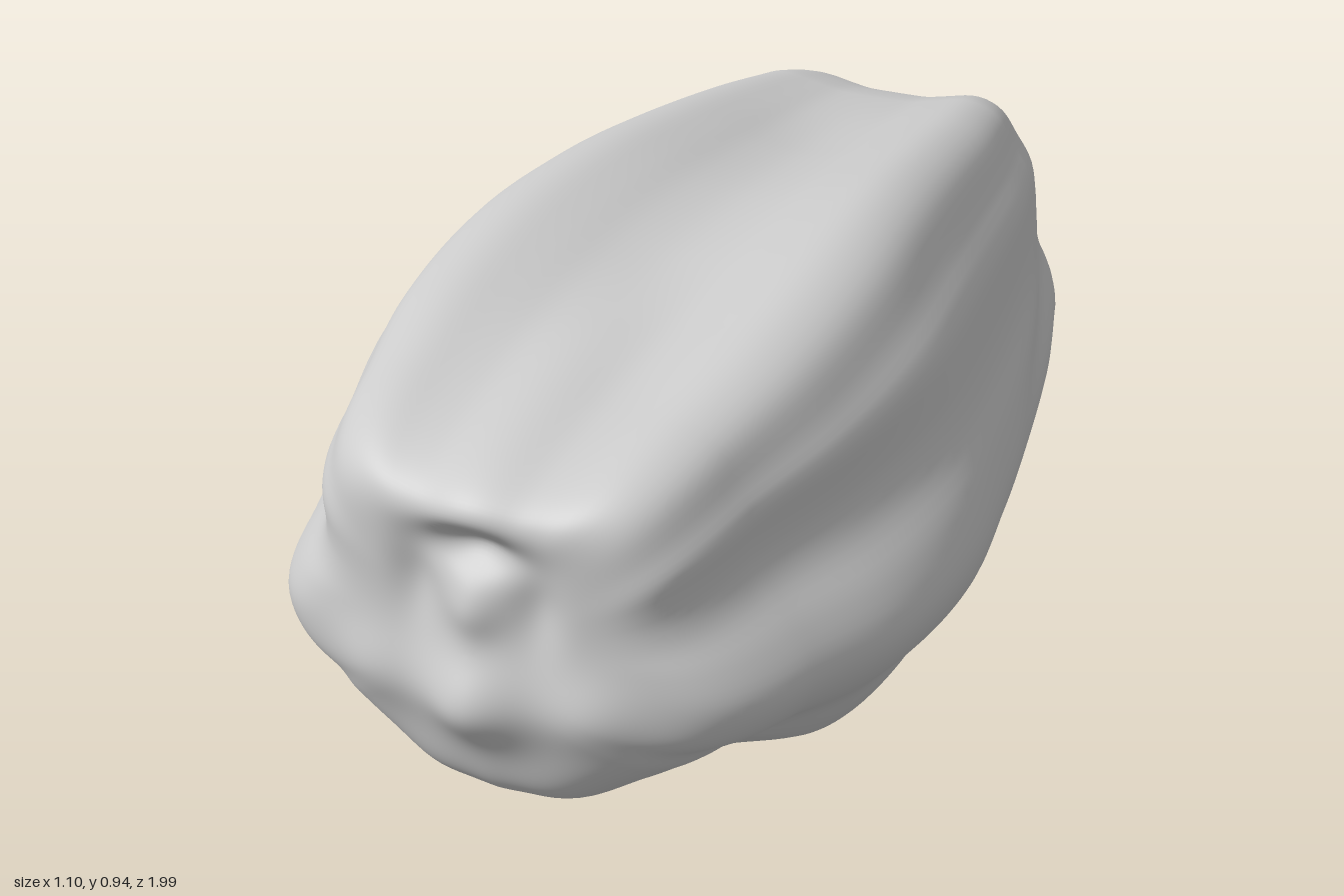
import * as THREE from 'three';
import { mergeVertices } from 'three/addons/utils/BufferGeometryUtils.js';

const SEG = 168, ALONG = 72, CAP = 56;
const { smoothstep, lerp } = THREE.MathUtils;

// Lobed cross-section, right half from bottom centre to top centre
const half = [[0, .014], [.08, .016], [.2, 0], [.3, .018], [.37, .08], [.42, .15], [.495, .26], [.532, .34],
  [.55, .43], [.528, .52], [.492, .59], [.474, .65], [.466, .70], [.45, .77], [.405, .83],
  [.36, .90], [.31, .932], [.25, .94], [.17, .92], [.09, .895], [0, .884]];

// Stations along the length: z, half width, top, bottom
const stations = [[-.7, .40, .838, .122], [-.5, .45, .874, .06], [-.25, .49, .912, .006], [0, .525, .936, .003],
  [.25, .552, .932, .028], [.5, .53, .9, .08], [.72, .46, .855, .172]];

const bump = (x, y, cx, cy, sx, sy) => Math.exp(-(((x - cx) / sx) ** 2) - ((y - cy) / sy) ** 2);
const sum = (x, y, list) => list.reduce((t, [h, ...b]) => t + h * bump(x, y, ...b), 0);

// Relief of the front end: lip, small nub, arched hollow and brow
function frontRelief(x, y) {
  const a = Math.abs(x);
  return .935 - .2 * x * x + sum(a, y, [
    [.06, 0, .455, .09, .08], [.025, .18, .46, .08, .07], [-.04, 0, .705, .07, .035],
    [.02, 0, .61, .045, .05], [-.018, .1, .63, .04, .07], [.035, 0, .79, .14, .06]]);
}

// Relief of the back end: upper lobes, cross crease and lower folds
function backRelief(x, y) {
  const a = Math.abs(x);
  return -(.933 - .2 * x * x + sum(a, y, [
    [.075, .2, .65, .08, .09], [.07, 0, .66, .1, .08], [-.04, 0, .55, .22, .04],
    [.055, 0, .41, .05, .1], [-.02, .08, .4, .035, .13], [.045, .24, .44, .08, .07], [.075, .13, .27, .13, .07]]));
}

function bodyGeometry() {
  const loop = [...half, ...half.slice(1, -1).reverse().map(([x, y]) => [-x, y])];
  const section = new THREE.CatmullRomCurve3(loop.map(([x, y]) => new THREE.Vector3(x / .55, (y - .47) / .47, 0)), true, 'catmullrom')
    .getSpacedPoints(SEG);
  const upper = new THREE.CatmullRomCurve3(stations.map(([z, w, t]) => new THREE.Vector3(w, t, z)), false, 'catmullrom');
  const lower = new THREE.CatmullRomCurve3(stations.map(([z, , , b]) => new THREE.Vector3(0, b, z)), false, 'catmullrom');

  // Outline point j at fraction t along the body
  function outline(t, j) {
    const u = upper.getPoint(t), b = lower.getPoint(t).y, s = section[j % SEG], z = u.z;
    let x = s.x * u.x, y = (u.y + b) / 2 + s.y * (u.y - b) / 2;
    // flank grooves: above and below the wide ridge in front, above it at the back
    const groove = (cy, width) => Math.exp(-(((y - cy) / width) ** 2));
    x *= 1 - .12 * smoothstep(z, 0, .75) * groove(.65, .12)
      - .06 * smoothstep(z, -.3, .5) * groove(.22 + .16 * z, .07)
      - .06 * smoothstep(-z, .05, .7) * groove(.40 - .17 * z, .06);
    if (s.y > 0) {
      // top groove is deepest mid-body and fills to a ridge at the front
      const fill = .04 * smoothstep(z, .25, .72) + .02 * smoothstep(-z, .3, .7);
      y += fill * Math.exp(-((x / .1) ** 2));
    } else {
      // underside narrows to a central keel at the front
      y += .09 * smoothstep(z, .1, .72) * Math.exp(-(((Math.abs(x) - .27) / .12) ** 2)) * smoothstep(-s.y, .15, .7);
    }
    return [x, y, z];
  }

  // End cap point: outline shrunk by s and eased out to the relief
  function cap(t, s, j, centreY, power, relief) {
    const [x0, y0, z0] = outline(t, j);
    const x = x0 * s, y = centreY + (y0 - centreY) * s;
    return [x, y, lerp(z0, relief(x, y), 1 - s ** power)];
  }

  const rings = [];
  for (let k = 0; k < CAP; k++) rings.push(j => cap(0, k / CAP, j, .48, 6, backRelief));
  for (let i = 0; i <= ALONG; i++) rings.push(j => outline(i / ALONG, j));
  for (let k = CAP - 1; k >= 0; k--) rings.push(j => cap(1, k / CAP, j, .54, 8, frontRelief));

  const pos = [], index = [];
  rings.forEach((ring, i) => {
    for (let j = 0; j < SEG; j++) {
      pos.push(...ring(j));
      if (i === rings.length - 1) continue;
      const a = i * SEG + j, b = i * SEG + (j + 1) % SEG, c = a + SEG, d = b + SEG;
      if (i > 0) index.push(a, b, c);
      else index.push(a, d, c);
      if (i > 0 && i < rings.length - 2) index.push(b, d, c);
    }
  });
  const raw = new THREE.BufferGeometry();
  raw.setAttribute('position', new THREE.Float32BufferAttribute(pos, 3));
  raw.setIndex(index);
  const geo = mergeVertices(raw, 1e-5);
  geo.computeVertexNormals();
  return geo;
}

export function createModel() {
  const group = new THREE.Group();
  group.name = 'lobedFruit';
  const body = new THREE.Mesh(bodyGeometry(), new THREE.MeshStandardMaterial({ color: 0xcccccc }));
  body.name = 'fruitBody';
  group.add(body);
  return group;
}
